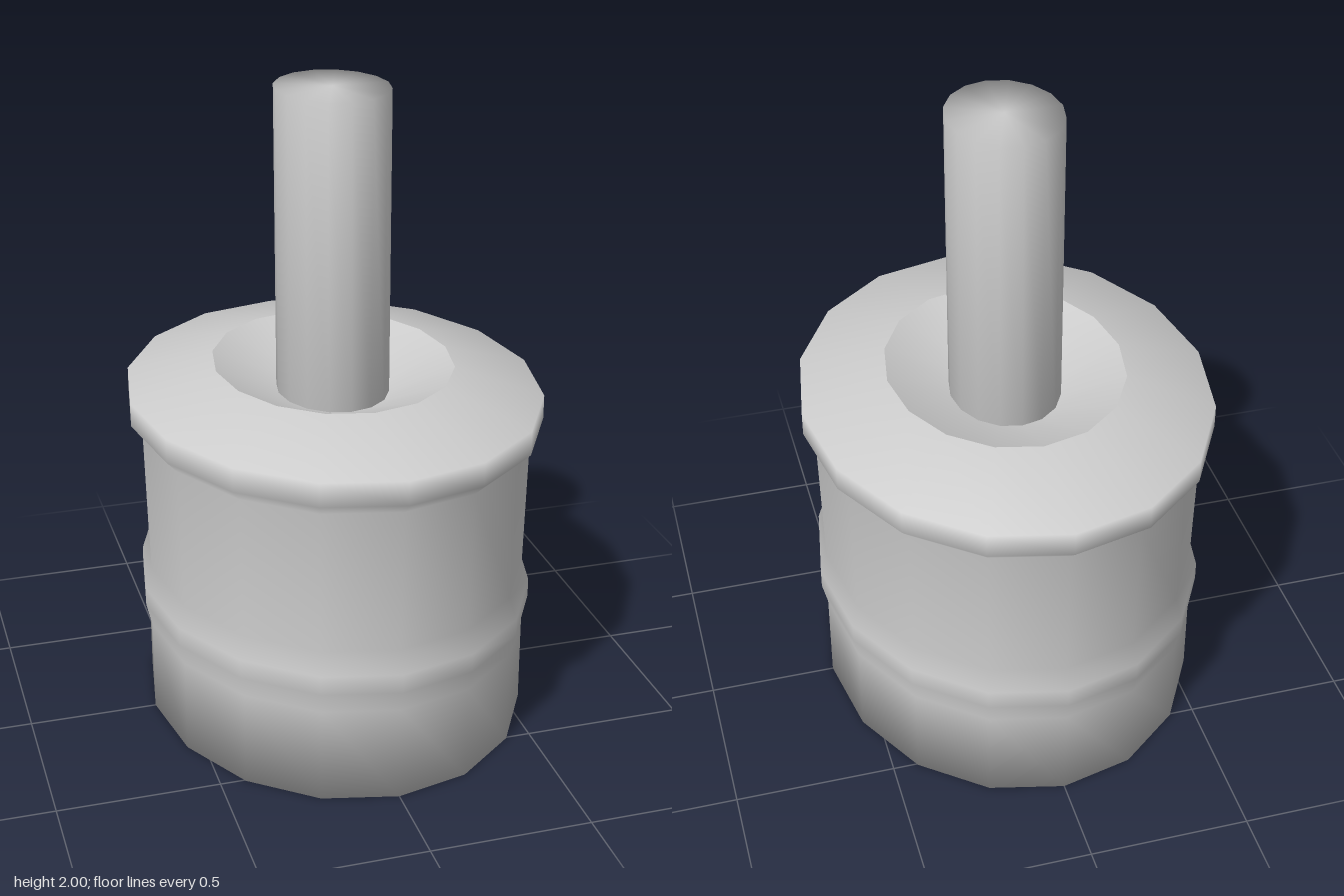
import * as THREE from 'three';

const SIDES = 16;
const DEPTH_RATIO = 1.195; // oval plan: deeper in z than wide in x

// Revolve a [radius, height] profile and stretch it to an oval
function ovalLathe(name, profile, material) {
  const points = profile.map(([r, y]) => new THREE.Vector2(r, y));
  const geometry = new THREE.LatheGeometry(points, SIDES);
  geometry.scale(1, 1, DEPTH_RATIO);
  const mesh = new THREE.Mesh(geometry, material);
  mesh.name = name;
  return mesh;
}

export function createModel() {
  const group = new THREE.Group();
  group.name = 'ovalPlunger';
  const grey = new THREE.MeshStandardMaterial({ color: 0xcccccc });

  // Closed base, lower band, tapered wall and the underside of the collar
  group.add(ovalLathe('body', [
    [0, 0], [0.597, 0],
    [0.597, 0.3], [0.614, 0.37], [0.614, 0.43], [0.592, 0.5],
    [0.602, 0.95], [0.638, 0.99], [0.638, 1.065], [0.37, 1.14],
  ], grey));

  // Shallow dish sunk into the collar
  group.add(ovalLathe('dish', [
    [0.37, 1.14], [0.17, 1.045], [0, 1.02],
  ], grey));

  // Upright stem standing in the dish
  group.add(ovalLathe('stem', [
    [0, 1.0], [0.173, 1.0], [0.173, 2], [0, 2],
  ], grey));

  return group;
}
